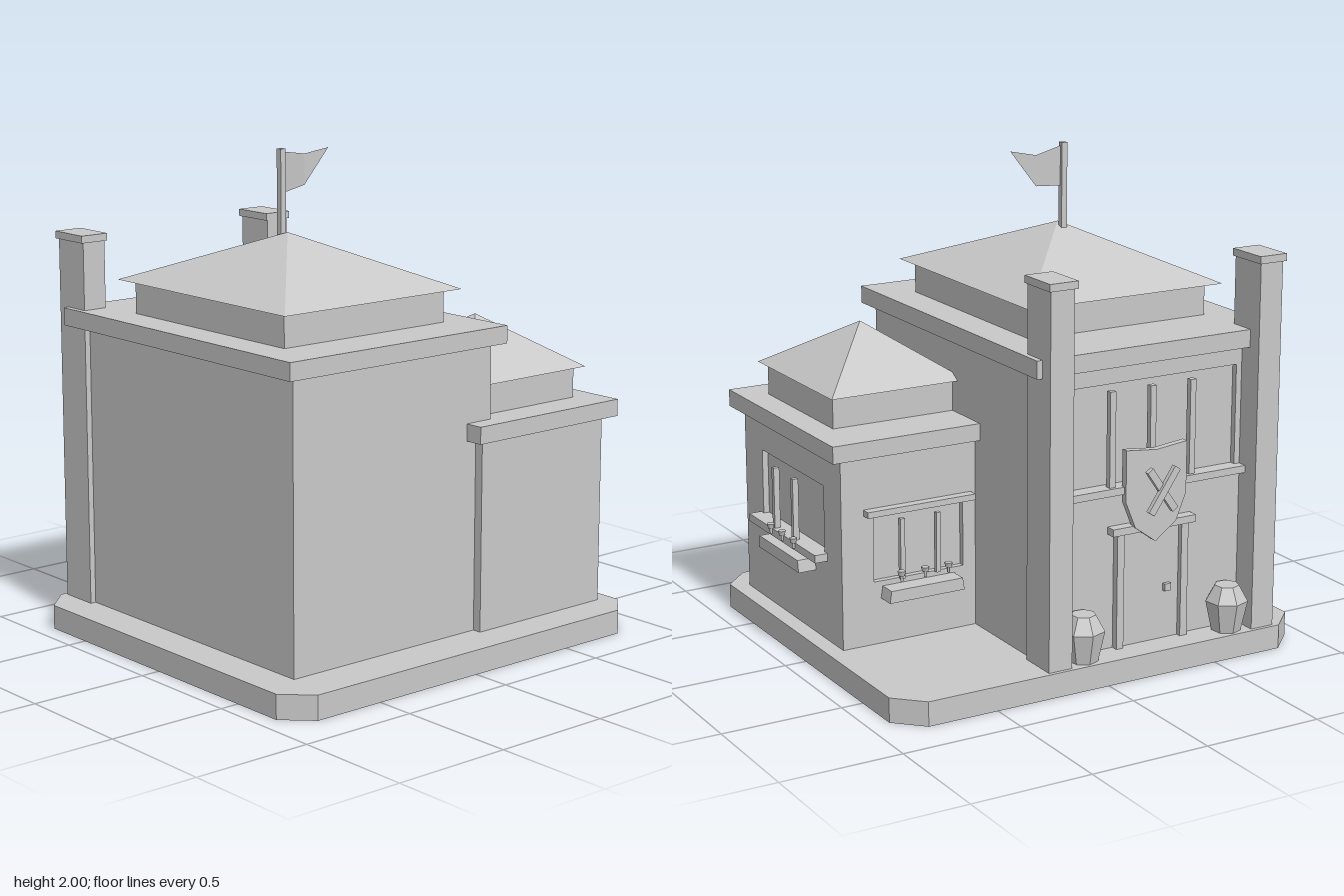
import * as THREE from 'three';

const stone = new THREE.MeshStandardMaterial({ color: 0xc8c8c8, side: THREE.DoubleSide });
stone.name = 'plain stone grey';

function add(parent, name, geometry) {
  const mesh = new THREE.Mesh(geometry, stone);
  mesh.name = name;
  parent.add(mesh);
  return mesh;
}

// Box given by its limits on each axis
function block(parent, name, [x0, x1], [y0, y1], [z0, z1]) {
  const mesh = add(parent, name, new THREE.BoxGeometry(x1 - x0, y1 - y0, z1 - z0));
  mesh.position.set((x0 + x1) / 2, (y0 + y1) / 2, (z0 + z1) / 2);
  return mesh;
}

// Four-sided roof over a rectangle
function hipRoof(parent, name, [x0, x1], [y0, y1], [z0, z1]) {
  const g = new THREE.ConeGeometry(Math.SQRT1_2, 1, 4).rotateY(Math.PI / 4).toNonIndexed();
  g.scale(x1 - x0, y1 - y0, z1 - z0);
  g.computeVertexNormals();
  add(parent, name, g).position.set((x0 + x1) / 2, (y0 + y1) / 2, (z0 + z1) / 2);
}

function polygon(points) {
  return new THREE.Shape(points.map(([x, y]) => new THREE.Vector2(x, y)));
}

function extrude(shape, depth) {
  return new THREE.ExtrudeGeometry(shape, { depth, bevelEnabled: false });
}

// Flat-shaded geometry from a list of corner coordinates
function facets(coordinates) {
  const g = new THREE.BufferGeometry();
  g.setAttribute('position', new THREE.Float32BufferAttribute(coordinates, 3));
  g.computeVertexNormals();
  return g;
}

// Wall slab with a rectangular opening, drawn in x and y
function piercedWall([x0, x1], [y0, y1], [a0, a1], [b0, b1], depth) {
  const shape = polygon([[x0, y0], [x1, y0], [x1, y1], [x0, y1]]);
  shape.holes.push(polygon([[a0, b0], [a0, b1], [a1, b1], [a1, b0]]));
  return extrude(shape, depth);
}

// Flower box with three small blooms, on a wall facing +z
function flowerBox(parent, width, x, y) {
  const box = new THREE.Group();
  box.name = 'flowerBox';
  box.position.set(x, y, 0);
  parent.add(box);
  const w = width / 2;
  const trough = polygon([[-w, 0], [w, 0], [w - 0.008, 0.05], [-w + 0.008, 0.05]]);
  add(box, 'trough', extrude(trough, 0.077));
  for (const fx of [-0.105, 0, 0.105]) {
    const stem = add(box, 'flowerStem', new THREE.CylinderGeometry(0.006, 0.006, 0.03, 5));
    stem.position.set(fx, 0.092, 0.058);
    const bloom = add(box, 'flower', new THREE.CylinderGeometry(0.017, 0.012, 0.02, 6));
    bloom.position.set(fx, 0.11, 0.058);
  }
}

export function createModel() {
  const model = new THREE.Group();
  model.name = 'guildHouse';

  // Chamfered plinth, hollow underneath
  const outline = [
    [-0.81, 0.838], [0.8, 0.838], [0.91, 0.73], [0.91, -0.72],
    [0.8, -0.828], [-0.81, -0.828], [-0.921, -0.72], [-0.921, 0.73],
  ];
  const rim = outline.flatMap(([x, z], i) => {
    const [nx, nz] = outline[(i + 1) % outline.length];
    return [x, 0, z, nx, 0, nz, nx, 0.1, nz, x, 0, z, nx, 0.1, nz, x, 0.1, z];
  });
  add(model, 'plinthRim', facets(rim));
  const deck = new THREE.ShapeGeometry(polygon(outline.map(([x, z]) => [x, -z])));
  add(model, 'plinthDeck', deck.rotateX(-Math.PI / 2)).position.y = 0.1;

  // Main hall
  const hall = new THREE.Group();
  hall.name = 'mainHall';
  model.add(hall);
  block(hall, 'hallWalls', [-0.765, 0.243], [0.094, 1.258], [-0.675, 0.645]);
  const backWall = piercedWall([-0.765, 0.243], [0.094, 1.258], [-0.66, 0.14], [0.77, 1.18], 0.025);
  add(hall, 'hallBackWall', backWall).position.z = -0.7;
  block(hall, 'hallCornice', [-0.813, 0.288], [1.258, 1.33], [-0.753, 0.688]);
  block(hall, 'hallAttic', [-0.667, 0.143], [1.33, 1.465], [-0.458, 0.477]);
  hipRoof(hall, 'hallRoof', [-0.71, 0.187], [1.465, 1.673], [-0.52, 0.533]);

  // Corner chimneys and pots at the back, mirrored about the hall centre
  const potProfile = [[0, 0.1], [0.06, 0.1], [0.087, 0.225], [0.05, 0.29], [0, 0.29]];
  for (const side of [-1, 1]) {
    const x = -0.262 + side * 0.475;
    block(hall, 'chimney', [x - 0.052, x + 0.052], [0.1, 1.605], [-0.812, -0.642]);
    block(hall, 'chimneyCap', [x - 0.062, x + 0.062], [1.605, 1.635], [-0.822, -0.637]);
    const points = potProfile.map(([r, y]) => new THREE.Vector2(r, y));
    const pot = new THREE.LatheGeometry(points, 7, 0.35).toNonIndexed();
    pot.computeVertexNormals();
    add(hall, 'pot', pot).position.set(-0.262 + side * 0.338, 0, -0.755);
  }

  // Upper window bars and ledge
  block(hall, 'windowLedge', [-0.69, 0.165], [0.74, 0.77], [-0.74, -0.7]);
  for (const x of [-0.44, -0.255, -0.07]) {
    block(hall, 'windowBar', [x - 0.013, x + 0.013], [0.77, 1.155], [-0.725, -0.7]);
  }

  // Door with posts, lintel and knob
  block(hall, 'door', [-0.395, -0.125], [0.1, 0.575], [-0.708, -0.7]);
  for (const x of [-0.41, -0.11]) {
    block(hall, 'doorPost', [x - 0.016, x + 0.016], [0.1, 0.575], [-0.73, -0.7]);
  }
  block(hall, 'lintel', [-0.45, -0.065], [0.575, 0.605], [-0.745, -0.7]);
  block(hall, 'doorKnob', [-0.352, -0.322], [0.3, 0.33], [-0.725, -0.708]);

  // Shield with a crossed pair of bars
  const shield = polygon([
    [-0.395, 0.92], [-0.395, 0.71], [-0.35, 0.6], [-0.255, 0.53],
    [-0.16, 0.6], [-0.115, 0.71], [-0.115, 0.92], [-0.255, 0.905],
  ]);
  add(hall, 'shield', extrude(shield, 0.03)).position.z = -0.753;
  for (const side of [-1, 1]) {
    const bar = add(hall, 'shieldCross', new THREE.BoxGeometry(0.03, 0.21, 0.02));
    bar.position.set(-0.258, 0.75, -0.793 - side * 0.006);
    bar.rotation.z = side * 0.6;
  }

  // Flagpole and forked pennant folded at its middle
  block(hall, 'flagpole', [-0.275, -0.25], [1.62, 2], [-0.043, -0.018]);
  add(hall, 'flag', facets([
    -0.25, 1.825, -0.03, -0.115, 1.84, -0.066, -0.115, 1.965, -0.066,
    -0.25, 1.825, -0.03, -0.115, 1.965, -0.066, -0.25, 1.987, -0.03,
    -0.115, 1.84, -0.066, -0.012, 1.985, -0.04, -0.115, 1.965, -0.066,
  ]));

  // Side wing
  const wing = new THREE.Group();
  wing.name = 'sideWing';
  model.add(wing);
  block(wing, 'wingWalls', [0.165, 0.815], [0.094, 0.883], [-0.175, 0.683]);
  const sideWall = piercedWall([-0.683, 0.2], [0.094, 0.883], [-0.518, 0.048], [0.465, 0.738], 0.025);
  add(wing, 'wingSideWall', sideWall.rotateY(Math.PI / 2)).position.x = 0.815;
  const rearWall = piercedWall([0.165, 0.815], [0.094, 0.883], [0.3, 0.7], [0.36, 0.63], 0.025);
  add(wing, 'wingRearWall', rearWall).position.z = -0.2;
  block(wing, 'wingCornice', [0.117, 0.89], [0.883, 0.953], [-0.24, 0.723]);
  block(wing, 'wingAttic', [0.228, 0.778], [0.953, 1.085], [-0.018, 0.577]);
  hipRoof(wing, 'wingRoof', [0.203, 0.803], [1.085, 1.293], [-0.062, 0.62]);

  // Side window
  const sideWindow = new THREE.Group();
  sideWindow.name = 'sideWindow';
  sideWindow.position.set(0.84, 0, 0.236);
  sideWindow.rotation.y = Math.PI / 2;
  wing.add(sideWindow);
  block(sideWindow, 'windowSill', [-0.308, 0.308], [0.433, 0.465], [0, 0.054]);
  for (const x of [-0.088, 0.088]) {
    block(sideWindow, 'windowBar', [x - 0.01, x + 0.01], [0.465, 0.72], [0.02, 0.045]);
  }
  flowerBox(sideWindow, 0.375, 0.016, 0.365);

  // Rear window
  const rearWindow = new THREE.Group();
  rearWindow.name = 'rearWindow';
  rearWindow.position.set(0.503, 0, -0.2);
  rearWindow.rotation.y = Math.PI;
  wing.add(rearWindow);
  block(rearWindow, 'windowHood', [-0.24, 0.24], [0.64, 0.665], [0, 0.04]);
  for (const x of [-0.08, 0.08]) {
    block(rearWindow, 'windowBar', [x - 0.01, x + 0.01], [0.36, 0.61], [0.005, 0.024]);
  }
  flowerBox(rearWindow, 0.335, 0, 0.288);

  return model;
}
